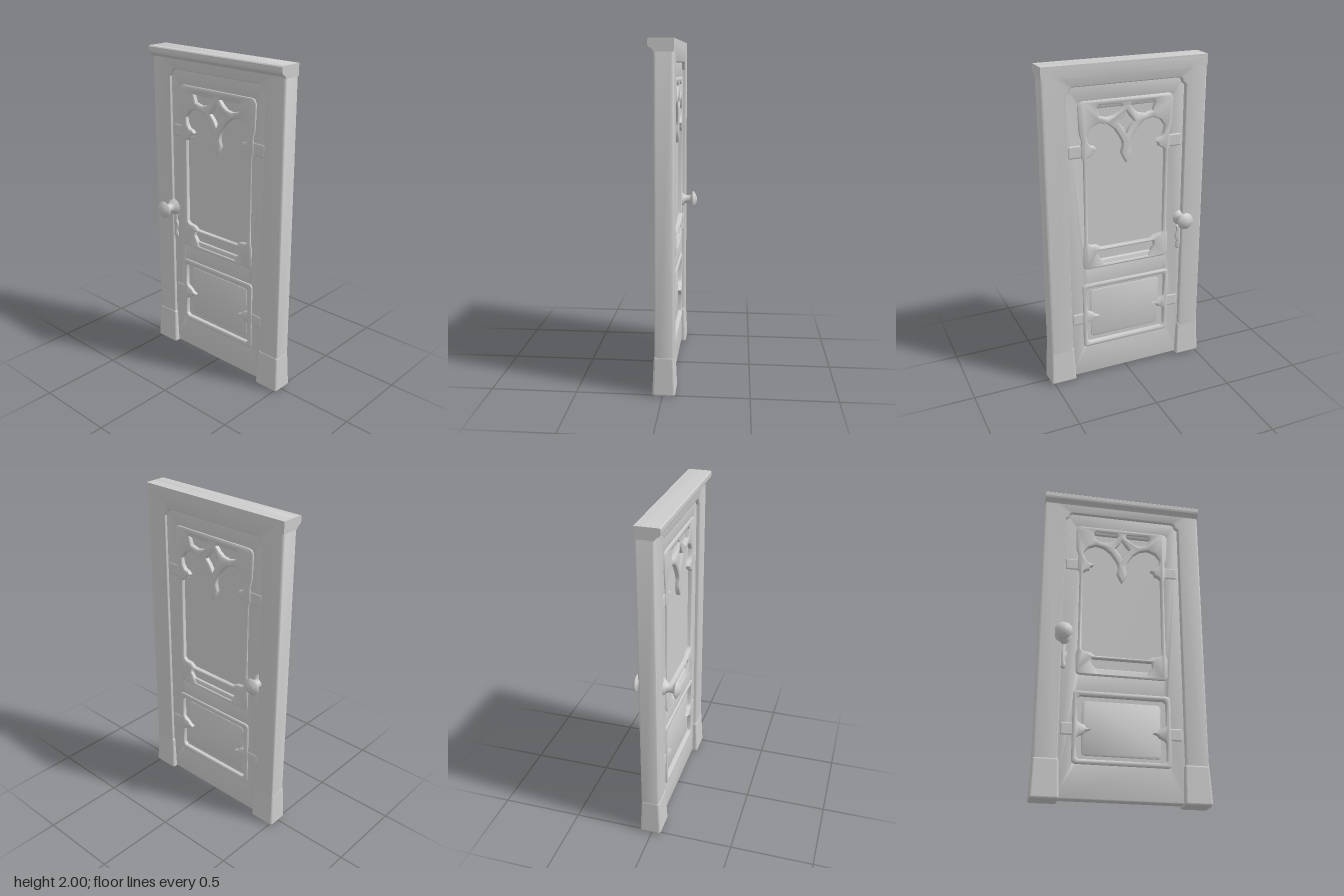
import * as THREE from 'three';
import { toCreasedNormals } from 'three/addons/utils/BufferGeometryUtils.js';
import { RoundedBoxGeometry } from 'three/addons/geometries/RoundedBoxGeometry.js';

const MID = -0.01; // z of the middle plane shared by frame and leaf

export function createModel() {
  const group = new THREE.Group();
  const mat = new THREE.MeshStandardMaterial({ color: 0xcccccc });

  const add = (name, geo, x = 0, y = 0, z = 0) => {
    const m = new THREE.Mesh(geo, mat);
    m.name = name;
    m.position.set(x, y, z);
    group.add(m);
    return m;
  };
  const path = (pts) => pts.map(([x, y]) => new THREE.Vector2(x, y));
  // closed outline from its right half, listed bottom to top
  const mirrored = (half) => path([...half, ...half.filter((p) => p[0] > 0).reverse().map(([x, y]) => [-x, y])]);
  const rect = (w, y0, y1, c = 0.02) => mirrored([[w - c, y0], [w - c * 0.3, y0 + c * 0.3], [w, y0 + c],
    [w, y1 - c], [w - c * 0.3, y1 - c * 0.3], [w - c, y1]]);
  // plate of given half thickness with rounded edges on both faces
  const plate = (name, outline, holes, half, bevel) => {
    const shape = new THREE.Shape(outline);
    shape.holes = holes.map((h) => new THREE.Path(h));
    const geo = new THREE.ExtrudeGeometry(shape, {
      depth: 2 * (half - bevel), bevelThickness: bevel, bevelSize: bevel, bevelOffset: -bevel, bevelSegments: 4,
    });
    geo.translate(0, 0, -(half - bevel));
    return add(name, toCreasedNormals(geo, 0.8), 0, 0, MID);
  };

  // door surround with an opening down to the floor
  plate('frame', mirrored([[0.37, 0], [0.51, 0], [0.51, 1.99], [0.5, 2]])
    .concat(path([[-0.37, 0], [-0.37, 1.83], [-0.35, 1.845], [-0.345, 1.865], [-0.33, 1.875],
      [0.33, 1.875], [0.345, 1.865], [0.35, 1.845], [0.37, 1.83]])), [], 0.055, 0.012);

  // lintel moulding, its profile swept along x
  const lintelShape = new THREE.Shape();
  lintelShape.moveTo(-0.065, 1.93);
  lintelShape.lineTo(0.042, 1.93);
  lintelShape.quadraticCurveTo(0.05, 1.945, 0.062, 1.95);
  lintelShape.quadraticCurveTo(0.076, 1.957, 0.076, 1.972);
  lintelShape.lineTo(0.076, 1.994);
  lintelShape.lineTo(0.07, 2);
  lintelShape.lineTo(-0.065, 2);
  const lintel = new THREE.ExtrudeGeometry(lintelShape, { depth: 1.022, bevelEnabled: false });
  lintel.translate(0, 0, -0.511);
  lintel.rotateY(-Math.PI / 2);
  lintel.scale(1, 1, 1);
  add('lintel', toCreasedNormals(lintel, 0.7));

  // plinth blocks with a sloped shoulder
  for (const s of [-1, 1]) {
    const plinth = new RoundedBoxGeometry(0.164, 0.235, 0.132, 4, 0.014);
    const p = plinth.attributes.position;
    for (let i = 0; i < p.count; i++) {
      if (p.getY(i) > 0.1) {
        p.setX(i, p.getX(i) * 0.9);
        p.setZ(i, p.getZ(i) * 0.86);
      }
    }
    plinth.computeVertexNormals();
    add(s > 0 ? 'leftPlinth' : 'rightPlinth', plinth, s * 0.438, 0.1175, -0.008);
  }

  // leaf: thin panel inside stiles and rails
  add('panel', new THREE.BoxGeometry(0.66, 1.7, 0.036), 0, 0.98, MID);
  plate('leaf', mirrored([[0.38, 0.012], [0.38, 1.89]]),
    [rect(0.268, 0.8, 1.74), rect(0.275, 0.225, 0.635)], 0.034, 0.006);

  // upper moulding with pointed tracery
  const arches = mirrored([
    [0.165, 0.88], [0.19, 0.9], [0.235, 0.905], [0.25, 0.92], [0.25, 1.45], [0.235, 1.463], [0.21, 1.475], [0.205, 1.492],
    [0.185, 1.505], [0.2, 1.522], [0.225, 1.528], [0.243, 1.555], [0.25, 1.595], [0.22, 1.635], [0.17, 1.656],
    [0.12, 1.645], [0.075, 1.61], [0.045, 1.565], [0.026, 1.53], [0.023, 1.5], [0.035, 1.465], [0.016, 1.425], [0, 1.4],
  ]);
  const diamond = mirrored([[0, 1.575], [0.02, 1.613], [0.05, 1.645], [0.02, 1.68], [0, 1.715]]);
  const light = [[0.035, 1.757], [0.17, 1.76], [0.185, 1.745], [0.168, 1.695], [0.12, 1.682], [0.08, 1.69], [0.05, 1.71], [0.024, 1.74]];
  const basePocket = mirrored([[0.15, 0.77], [0.165, 0.8], [0.19, 0.835], [0.185, 0.862]]);
  plate('upperMoulding', mirrored([[0.255, 0.75], [0.275, 0.757], [0.282, 0.78], [0.282, 0.89], [0.272, 0.92], [0.272, 1.44],
    [0.285, 1.47], [0.285, 1.53], [0.28, 1.56], [0.295, 1.61], [0.3, 1.76], [0.29, 1.782], [0.27, 1.79]]),
  [arches, diamond, path(light), path(light.map(([x, y]) => [-x, y])), basePocket], 0.044, 0.009);

  // lower moulding with a pointed cusp on each side
  const lowerHole = mirrored([[0.25, 0.24], [0.265, 0.255], [0.265, 0.365], [0.25, 0.38], [0.222, 0.39], [0.212, 0.405], [0.185, 0.416],
    [0.212, 0.428], [0.222, 0.442], [0.25, 0.452], [0.265, 0.468], [0.265, 0.605], [0.25, 0.62]]);
  plate('lowerMoulding', rect(0.292, 0.21, 0.65), [lowerHole], 0.044, 0.009);
  plate('lowerField', rect(0.235, 0.265, 0.595), [], 0.021, 0.003);

  // low bands running from the cusps across the stiles
  for (const s of [-1, 1]) {
    for (const y of [1.5, 0.415]) {
      add('stileBand', new RoundedBoxGeometry(0.1, 0.085, 0.076, 3, 0.015), s * 0.315, y, MID);
    }
  }

  // knobs and keyhole plates on both faces
  const knobProfile = new THREE.SplineCurve(path([[0.056, 0.035], [0.042, 0.051], [0.029, 0.066], [0.026, 0.088], [0.031, 0.105], [0.049, 0.114]]))
    .getPoints(20).concat(path([[0.053, 0.117], [0.052, 0.122], [0.043, 0.128], [0.032, 0.136], [0.017, 0.142], [0, 0.144]]));
  const knob = new THREE.LatheGeometry(knobProfile, 32);
  for (const s of [-1, 1]) {
    const k = add(s > 0 ? 'frontKnob' : 'backKnob', knob, -0.368, 0.99, 0);
    k.rotation.x = s * Math.PI / 2;
  }
  plate('keyholePlate', path([[-0.372, 0.94], [-0.372, 0.79], [-0.355, 0.78], [-0.34, 0.79], [-0.34, 0.815],
    [-0.347, 0.835], [-0.335, 0.86], [-0.335, 0.885], [-0.347, 0.9], [-0.34, 0.94]]), [], 0.048, 0.01);

  return group;
}
